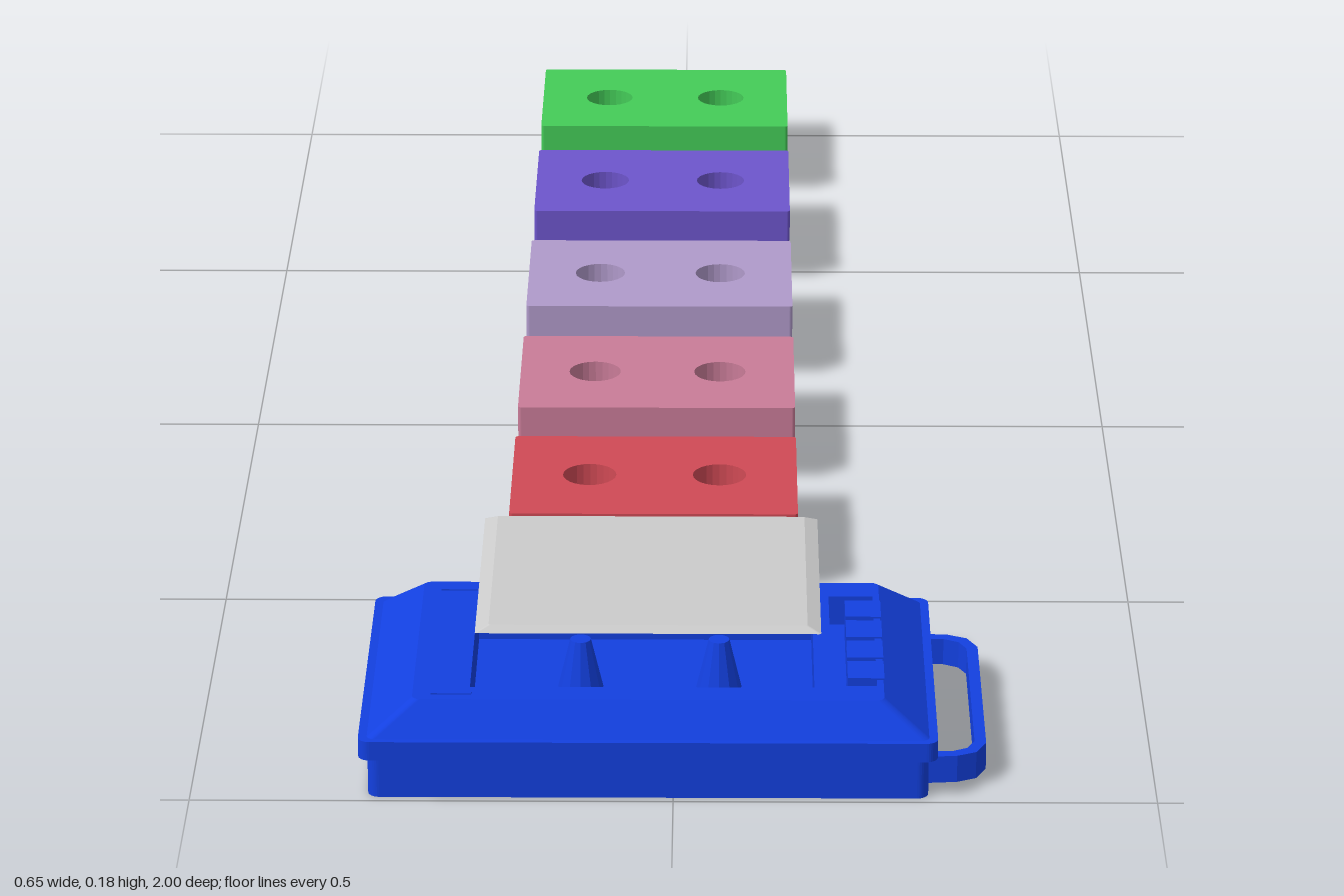
import * as THREE from 'three';

const CX = -0.026, CZ = 0.819; // centre of the player in plan

function mat(color) {
  return new THREE.MeshStandardMaterial({ color, flatShading: true });
}

function add(parent, name, geometry, material, x = 0, y = 0, z = 0) {
  const mesh = new THREE.Mesh(geometry, material);
  mesh.name = name;
  mesh.position.set(x, y, z);
  parent.add(mesh);
  return mesh;
}

// Rectangle with rounded corners, half sizes a and b
function roundedRect(a, b, r) {
  const s = new THREE.Shape();
  s.absarc(a - r, b - r, r, 0, Math.PI / 2);
  s.absarc(r - a, b - r, r, Math.PI / 2, Math.PI);
  s.absarc(r - a, r - b, r, Math.PI, Math.PI * 1.5);
  s.absarc(a - r, r - b, r, Math.PI * 1.5, Math.PI * 2);
  return s;
}

function rectHole(x0, x1, b) {
  const p = new THREE.Path();
  p.moveTo(x0, -b).lineTo(x0, b).lineTo(x1, b).lineTo(x1, -b).closePath();
  return p;
}

// Upright slab with its base on y = 0
function slab(shape, height, holes = [], curveSegments = 4) {
  shape.holes.push(...holes);
  const g = new THREE.ExtrudeGeometry(shape, { depth: height, bevelEnabled: false, curveSegments });
  return g.rotateX(-Math.PI / 2);
}

// Pull the upper outline of a slab inwards, leaving its holes upright
function taper(g, height, a, b, dx, dz) {
  const p = g.attributes.position;
  for (let i = 0; i < p.count; i++) {
    const x = p.getX(i), z = p.getZ(i);
    const outer = Math.abs(x) > a - 0.014 || Math.abs(z) > b - 0.014;
    if (p.getY(i) > height * 0.5 && outer) {
      p.setX(i, x - Math.sign(x) * dx);
      p.setZ(i, z - Math.sign(z) * dz);
    }
  }
  g.computeVertexNormals();
  return g;
}

function createPlayer() {
  const player = new THREE.Group();
  player.name = 'player';
  player.position.set(CX, 0, CZ);
  const blue = mat(0x1340e0);
  const well = () => rectHole(-0.185, 0.172, 0.117);

  // Case in three layers: base, overhanging rim, sloped top
  add(player, 'base', slab(roundedRect(0.29, 0.172, 0.012), 0.046), blue);
  add(player, 'rim', slab(roundedRect(0.299, 0.181, 0.012), 0.021, [well()]), blue, 0, 0.046, 0);
  const top = slab(roundedRect(0.29, 0.174, 0.008), 0.033, [well(), rectHole(0.19, 0.237, 0.112)]);
  add(player, 'slopedTop', taper(top, 0.033, 0.29, 0.174, 0.046, 0.027), blue, 0, 0.067, 0);

  // Four keys in their recess
  for (let i = 0; i < 4; i++) {
    add(player, 'key', new THREE.BoxGeometry(0.038, 0.034, 0.042), blue, 0.226, 0.085, (i - 1.5) * 0.051);
  }

  // Spindles in the tape well
  for (const x of [-0.073, 0.073]) {
    add(player, 'spindle', new THREE.CylinderGeometry(0.011, 0.024, 0.055, 12), blue, x, 0.0735, 0);
  }

  // Lid hinges
  for (const s of [-1, 1]) {
    add(player, 'hinge', new THREE.BoxGeometry(0.042, 0.012, 0.012), blue, -0.204, 0.0955, s * 0.13);
  }

  // Flat strap handle on the left end
  const outer = [[0.285, 0.152], [0.32, 0.149], [0.34, 0.14], [0.351, 0.118]];
  const inner = [[0.285, 0.138], [0.315, 0.138], [0.331, 0.13], [0.339, 0.114]];
  const mirror = (pts) => pts.map(([x, z]) => [x, -z]).reverse();
  const loop = [...outer, ...mirror(outer), ...inner.map(([x, z]) => [x, -z]), ...inner.slice().reverse()];
  const strap = new THREE.Shape(loop.map(([x, z]) => new THREE.Vector2(x, z)));
  add(player, 'handle', slab(strap, 0.03), blue, 0, 0.008, 0);
  return player;
}

// Thin lid floating above the player, with bevelled edges
function createLid() {
  const lid = slab(roundedRect(0.178, 0.147, 0.002), 0.006);
  return taper(lid, 0.006, 0.178, 0.147, 0.014, 0.008);
}

// Tape block with two reel holes
function createTape(color) {
  const holes = [-0.073, 0.073].map((x) => new THREE.Path().absarc(x, 0, 0.03, 0, Math.PI * 2, true));
  const tape = new THREE.Group();
  tape.name = 'tape';
  add(tape, 'tapeBody', slab(roundedRect(0.16, 0.11, 0.004), 0.04, holes, 12), mat(color));
  return tape;
}

export function createModel() {
  const model = new THREE.Group();
  model.name = 'tapePlayerSet';
  model.add(createPlayer());
  add(model, 'lid', createLid(), mat(0xcccccc), CX, 0.175, CZ);

  // Row of tapes behind the player
  const tapes = [
    [0xd04a55, 0.363], [0xc97c98, 0.058], [0xb09aca, -0.258], [0x6d55cc, -0.58], [0x44cc58, -0.89],
  ];
  for (const [color, z] of tapes) {
    const tape = createTape(color);
    tape.position.set(CX, 0.053, z);
    model.add(tape);
  }
  return model;
}
